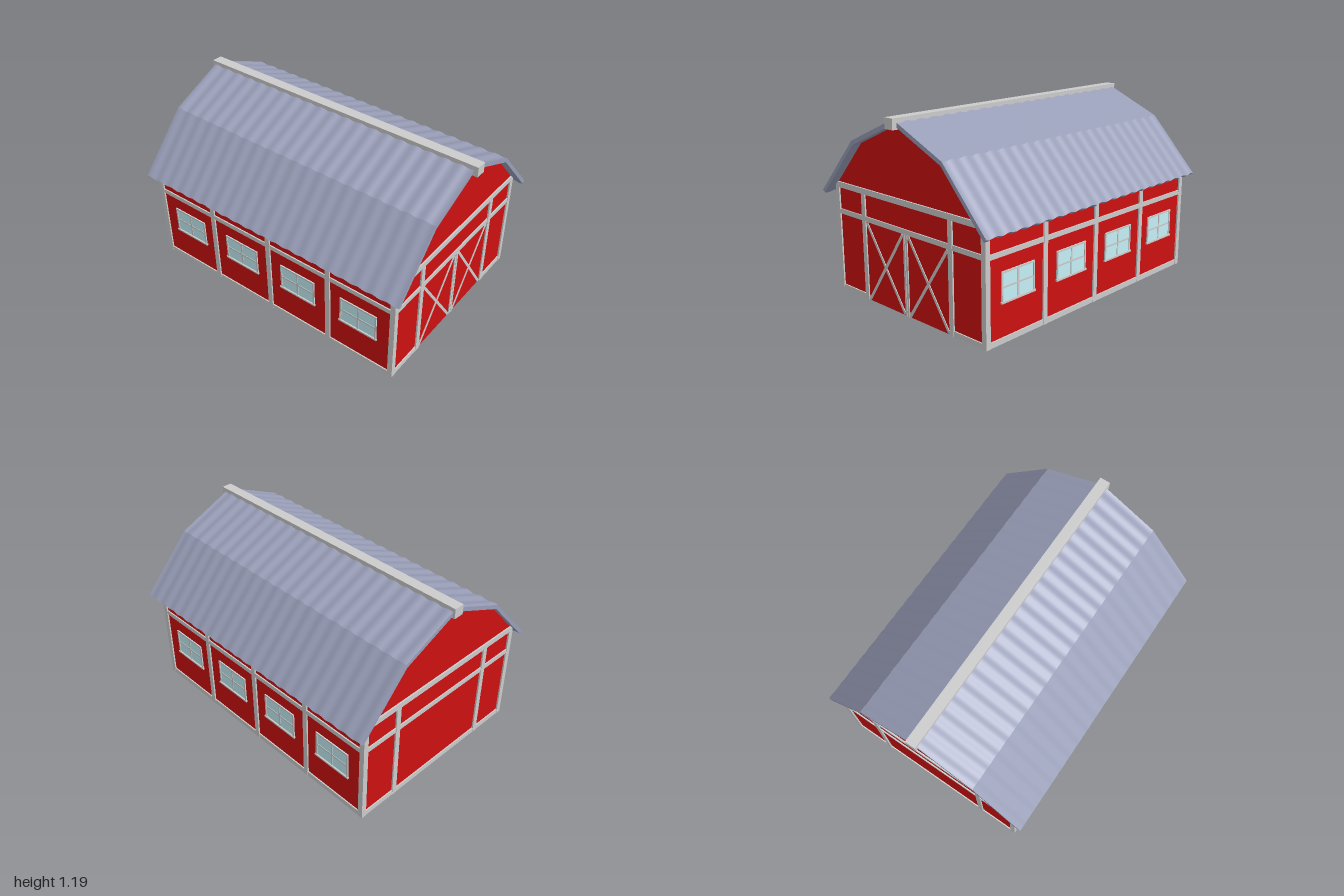
import * as THREE from 'three';
import { toCreasedNormals } from 'three/addons/utils/BufferGeometryUtils.js';

const mat = (color) => new THREE.MeshStandardMaterial({ color });
const trim = mat(0xcccccc);
const red = mat(0xcc1010);
const slate = mat(0x999eb8);
const glass = mat(0xc4f0f8);

const FRONT = 0.9, BACK = -0.936, SIDE = 0.642; // wall planes
const MID_Z = (FRONT + BACK) / 2;
const BEAM = 0.034;

// Box given by its lower and upper bounds on each axis
function box(parent, name, [x0, x1], [y0, y1], [z0, z1], material = trim) {
  const mesh = new THREE.Mesh(new THREE.BoxGeometry(x1 - x0, y1 - y0, z1 - z0), material);
  mesh.position.set((x0 + x1) / 2, (y0 + y1) / 2, (z0 + z1) / 2);
  mesh.name = name;
  parent.add(mesh);
  return mesh;
}
const around = (c, size) => [c - size / 2, c + size / 2];

// Gambrel end wall
function endWall(z, name) {
  const shape = new THREE.Shape([
    [-SIDE, 0], [SIDE, 0], [SIDE, 0.705], [0.387, 0.988], [0, 1.16], [-0.387, 0.988], [-SIDE, 0.705],
  ].map(([x, y]) => new THREE.Vector2(x, y)));
  const geo = new THREE.ExtrudeGeometry(shape, { depth: 0.014, bevelEnabled: false });
  const mesh = new THREE.Mesh(geo, red);
  mesh.position.z = z - 0.007;
  mesh.name = name;
  return mesh;
}

// Posts and rails of one end
function endFrame(z, name) {
  const g = new THREE.Group();
  g.name = name;
  const zs = around(z, BEAM);
  for (const s of [-1, 1]) {
    box(g, 'innerPost', around(s * 0.384, BEAM), [0, 0.673], zs);
  }
  box(g, 'tieBeam', [-0.656, 0.656], [0.673, 0.709], zs);
  box(g, 'middleRail', [-0.63, 0.63], [0.505, 0.536], around(z, 0.03));
  return g;
}

// Door leaf with crossed braces; s picks the side
function door(s) {
  const g = new THREE.Group();
  g.name = s > 0 ? 'leftDoor' : 'rightDoor';
  const x0 = 0.002, x1 = 0.367, top = 0.505;
  const span = (a, b) => (s > 0 ? [a, b] : [-b, -a]);
  box(g, 'doorPanel', span(x0, x1), [0, top], around(FRONT, 0.018), red);
  box(g, 'centreStile', span(x0, 0.018), [0, top], around(FRONT, 0.03));
  const dx = 0.335, dy = 0.49;
  for (const d of [-1, 1]) {
    const brace = new THREE.Mesh(new THREE.BoxGeometry(0.018, Math.hypot(dx, dy), 0.026), trim);
    brace.position.set(s * 0.192, top / 2, FRONT);
    brace.rotation.z = d * Math.atan2(dx, dy);
    brace.name = 'doorBrace';
    g.add(brace);
  }
  return g;
}

// Four-pane window in a side wall
function sideWindow(x, z) {
  const g = new THREE.Group();
  g.name = 'window';
  const w = 0.262, y0 = 0.232, y1 = 0.415, t = 0.011;
  const ym = (y0 + y1) / 2, xs = around(x, 0.03);
  box(g, 'windowPane', around(x, 0.02), [y0, y1], around(z, w), glass);
  for (const s of [-1, 1]) {
    box(g, 'windowJamb', xs, [y0, y1], around(z + s * (w - t) / 2, t));
  }
  box(g, 'windowHead', xs, [y1 - t, y1], around(z, w));
  box(g, 'windowSill', around(x, 0.038), [y0, y0 + t], around(z, w + 0.012));
  box(g, 'windowMullion', around(x, 0.026), [y0, y1], around(z, t));
  box(g, 'windowBar', around(x, 0.026), around(ym, t), around(z, w));
  return g;
}

// Corrugated gambrel roof, a closed profile swept along z
function roof() {
  const outer = [[0.72, 0.65], [0.395, 1.004], [0, 1.179], [-0.395, 1.004], [-0.72, 0.65]];
  const inner = [[-0.7, 0.636], [-0.385, 0.98], [0, 1.15], [0.385, 0.98], [0.7, 0.636]];
  const ring = [...outer, ...inner], n = ring.length;
  const z0 = -0.985, z1 = 0.97, ribs = 20, steps = ribs * 8;
  const pos = [], idx = [];
  for (let k = 0; k <= steps; k++) {
    const wave = 0.004 * Math.sin((k / 8) * Math.PI * 2);
    for (const [x, y] of ring) pos.push(x, y + wave, z0 + (z1 - z0) * k / steps);
  }
  for (let k = 0; k < steps; k++) {
    for (let i = 0; i < n; i++) {
      const a = k * n + i, b = k * n + (i + 1) % n;
      idx.push(a, b, b + n, a, b + n, a + n);
    }
  }
  const e = steps * n;
  for (let i = 0; i < 4; i++) {
    const [a, b, c, d] = [i, i + 1, 8 - i, 9 - i];
    idx.push(e + a, e + b, e + c, e + a, e + c, e + d);
    idx.push(a, c, b, a, d, c);
  }
  const geo = new THREE.BufferGeometry();
  geo.setAttribute('position', new THREE.Float32BufferAttribute(pos, 3));
  geo.setIndex(idx);
  const mesh = new THREE.Mesh(toCreasedNormals(geo, 0.32), slate);
  mesh.name = 'roof';
  return mesh;
}

export function createModel() {
  const barn = new THREE.Group();
  barn.name = 'barn';

  // Ends
  barn.add(endWall(FRONT, 'frontWall'), endWall(BACK, 'backWall'));
  barn.add(endFrame(FRONT, 'frontFrame'), endFrame(BACK, 'backFrame'));
  box(barn, 'backSill', [-0.63, 0.63], [0, BEAM], around(BACK, 0.03));

  // Sides, with corner posts, bay posts, rails and windows
  for (const s of [-1, 1]) {
    const side = new THREE.Group();
    side.name = s > 0 ? 'leftSide' : 'rightSide';
    const x = s * SIDE, run = [BACK, FRONT];
    box(side, 'sideWall', around(x, 0.014), [0, 0.69], run, red);
    for (let i = 0; i <= 4; i++) {
      const z = BACK + (FRONT - BACK) * i / 4;
      box(side, i % 4 ? 'bayPost' : 'cornerPost', around(x, BEAM), [0, 0.673], around(z, BEAM));
    }
    box(side, 'sideSill', around(x, 0.03), [0, BEAM], run);
    box(side, 'sideRail', around(x, 0.03), [0.502, 0.532], run);
    box(side, 'wallPlate', around(x, 0.03), [0.657, 0.689], run);
    for (let i = 0; i < 4; i++) side.add(sideWindow(x, MID_Z + (i - 1.5) * 0.453));
    barn.add(side);

    box(barn, 'frontSill', s > 0 ? [0.39, 0.63] : [-0.63, -0.39], [0, BEAM], around(FRONT, 0.03));
    barn.add(door(s));
  }

  // Roof and ridge beam
  barn.add(roof());
  box(barn, 'ridgeBeam', [-0.034, 0.034], [1.125, 1.19], [-1, 1]);
  return barn;
}
